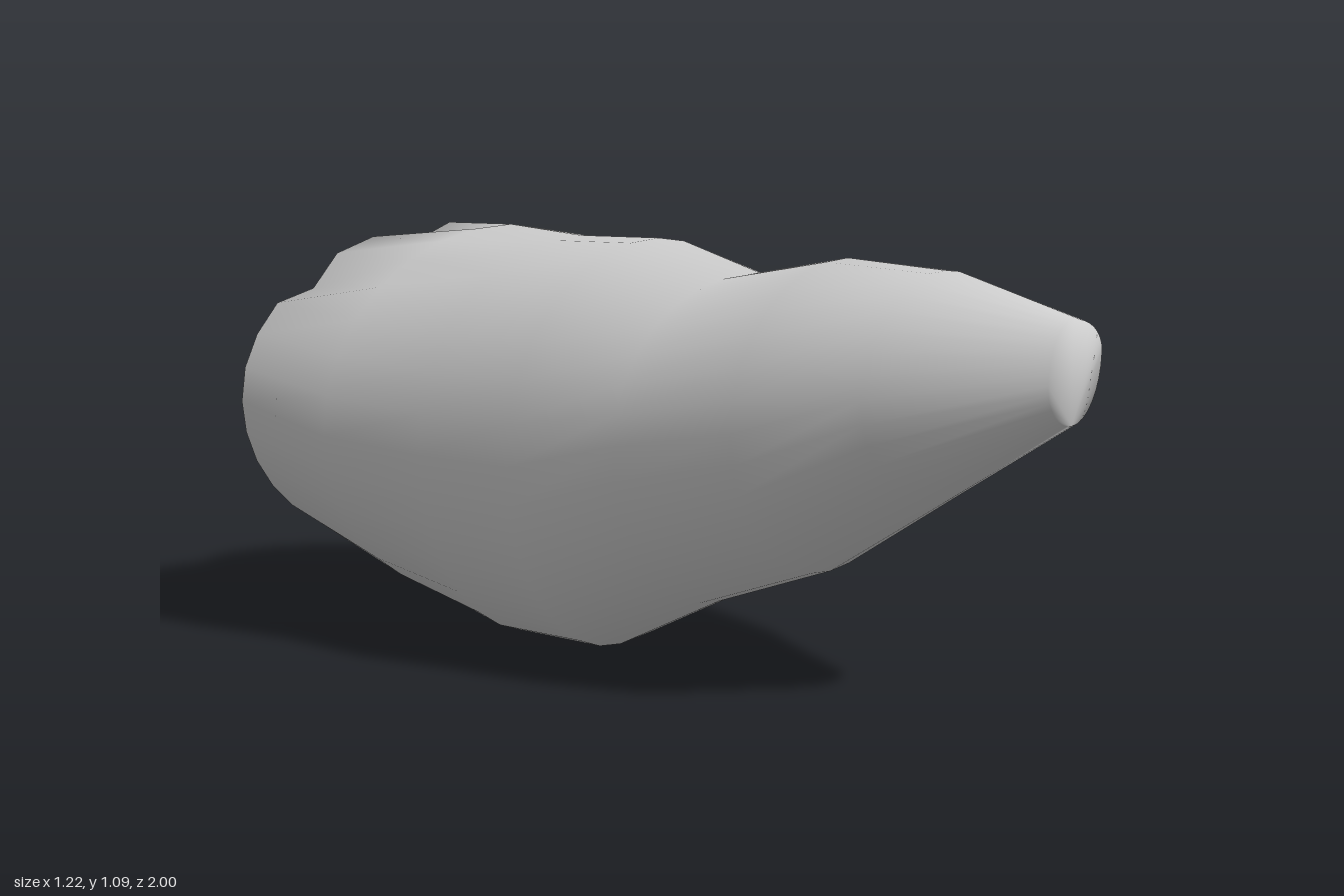
import * as THREE from 'three';

// Cross-sections from front to back: z, then the leftmost, top, rightmost and bottom points (x, y)
const SECTIONS = [
  [1.00, 0.12, 0.77, 0.22, 0.91, 0.355, 0.83, 0.23, 0.67],
  [0.71, -0.17, 0.74, 0.15, 1.01, 0.43, 0.78, 0.18, 0.47],
  [0.43, -0.28, 0.65, 0.15, 1.03, 0.49, 0.66, 0.10, 0.27],
  [0.14, -0.36, 0.60, 0.12, 0.98, 0.545, 0.60, 0.02, 0.16],
  [-0.14, -0.445, 0.53, 0.10, 1.065, 0.59, 0.53, -0.05, 0.01],
  [-0.43, -0.475, 0.53, 0.10, 1.065, 0.605, 0.53, -0.05, 0.0],
  [-0.71, -0.56, 0.56, 0.10, 1.09, 0.55, 0.55, -0.02, 0.07],
  [-1.00, -0.61, 0.63, 0.12, 1.09, 0.49, 0.60, -0.10, 0.20],
];
const SIDES = 32;
const QUARTER = SIDES / 4;

// Point j of a ring made of four quarter ellipses joining the extreme points
function ringPoint([z, lx, ly, tx, ty, rx, ry, bx, by], j) {
  const a = (j / SIDES) * Math.PI * 2;
  const quarter = Math.floor(j / QUARTER);
  const upper = quarter < 2;
  const leftward = quarter === 0 || quarter === 3;
  const cx = upper ? tx : bx;
  const cy = leftward ? ly : ry;
  return [
    cx + Math.abs(Math.cos(a)) * ((leftward ? lx : rx) - cx),
    cy + Math.abs(Math.sin(a)) * ((upper ? ty : by) - cy),
    z,
  ];
}

function bodyGeometry() {
  const positions = [];
  const index = [];
  const last = SECTIONS.length - 1;

  SECTIONS.forEach((section, i) => {
    for (let j = 0; j < SIDES; j++) {
      const p = ringPoint(section, j);
      // Small dents in the upper rim of the back end
      if (i === last && (j === 4 || j === 7)) {
        p[0] += (0 - p[0]) * 0.07;
        p[1] += (0.6 - p[1]) * 0.1;
      }
      positions.push(...p);
    }
  });

  // Skin between neighbouring rings
  for (let i = 0; i < last; i++) {
    for (let j = 0; j < SIDES; j++) {
      const k = (j + 1) % SIDES;
      const a = i * SIDES + j, b = i * SIDES + k;
      index.push(a, b, a + SIDES, b, b + SIDES, a + SIDES);
    }
  }

  // End caps: the tip fans out from its lowest point, the back from its leftmost
  const low = QUARTER * 3;
  const back = last * SIDES;
  for (let j = 1; j < SIDES - 1; j++) {
    index.push(low, (low + j + 1) % SIDES, (low + j) % SIDES);
    index.push(back, back + j, back + j + 1);
  }

  const geometry = new THREE.BufferGeometry();
  geometry.setAttribute('position', new THREE.Float32BufferAttribute(positions, 3));
  geometry.setIndex(index);
  geometry.computeVertexNormals();
  return geometry;
}

export function createModel() {
  const group = new THREE.Group();
  const body = new THREE.Mesh(
    bodyGeometry(),
    new THREE.MeshStandardMaterial({ color: 0xcccccc, side: THREE.DoubleSide })
  );
  body.name = 'taperedBody';
  group.add(body);
  return group;
}
